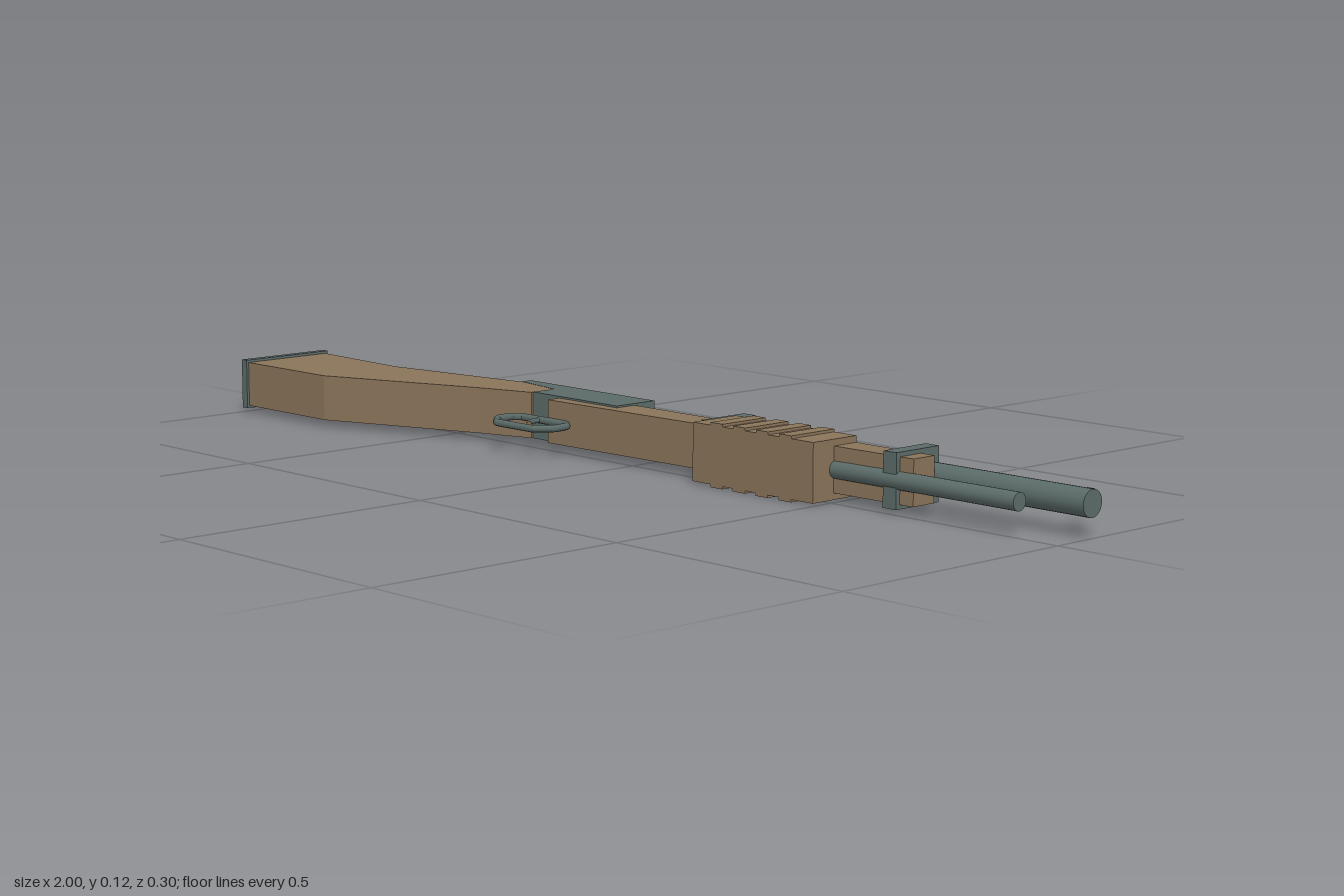
import * as THREE from 'three';

const MID = 0.058; // mid-plane height of the model, which lies on its side

export function createModel() {
  const model = new THREE.Group();
  const wood = new THREE.MeshStandardMaterial({ color: 0x8a745a });
  wood.name = 'wood';
  const metal = new THREE.MeshStandardMaterial({ color: 0x5b6b68 });
  metal.name = 'metal';

  const add = (name, geometry, material) => {
    const mesh = new THREE.Mesh(geometry, material);
    mesh.name = name;
    model.add(mesh);
    return mesh;
  };
  // Slab with an outline in x/z, centred on the mid-plane
  const slab = (name, points, half, material) => {
    const shape = new THREE.Shape(points.map(([x, z]) => new THREE.Vector2(x, -z)));
    const g = new THREE.ExtrudeGeometry(shape, { depth: half * 2, bevelEnabled: false });
    g.rotateX(-Math.PI / 2).translate(0, MID - half, 0);
    return add(name, g, material);
  };
  // Box from x and z ranges, centred on the mid-plane
  const block = (name, x0, x1, z0, z1, half, material, y = MID) => {
    const g = new THREE.BoxGeometry(x1 - x0, half * 2, z1 - z0);
    g.translate((x0 + x1) / 2, y, (z0 + z1) / 2);
    return add(name, g, material);
  };
  // Round bar along x
  const bar = (name, x0, x1, z, radius) => {
    const g = new THREE.CylinderGeometry(radius, radius, x1 - x0, 24);
    g.rotateZ(Math.PI / 2).translate((x0 + x1) / 2, MID, z);
    return add(name, g, metal);
  };
  // Thin bent rod with straight segments
  const rod = (name, points, radius, closed) => {
    const path = new THREE.CurvePath();
    const v = points.map(([x, z]) => new THREE.Vector3(x, MID, z));
    const count = closed ? v.length : v.length - 1;
    for (let i = 0; i < count; i++) path.add(new THREE.LineCurve3(v[i], v[(i + 1) % v.length]));
    return add(name, new THREE.TubeGeometry(path, count * 8, radius, 8, closed), metal);
  };

  // Wooden stock and its end plate
  slab('stock', [
    [-0.985, -0.05], [-0.985, 0.145], [-0.735, 0.145], [-0.41, 0.024],
    [-0.295, -0.012], [-0.295, -0.07], [-0.41, -0.088], [-0.74, -0.038],
  ], 0.044, wood);
  block('buttPlate', -1, -0.984, -0.055, 0.15, 0.049, metal);

  // Receiver with a rear tang
  slab('receiver', [
    [-0.41, -0.111], [-0.41, -0.088], [-0.295, -0.07], [-0.295, -0.016],
    [-0.06, -0.016], [-0.06, -0.111],
  ], 0.0445, metal);

  // Wooden fore-end
  slab('foreEnd', [
    [-0.22, 0.012], [-0.06, 0.008], [0.2, 0.0], [0.68, -0.01],
    [0.68, -0.062], [-0.06, -0.062], [-0.06, -0.016], [-0.22, -0.016],
  ], 0.041, wood);

  // Barrel and the tube beneath it
  bar('barrel', -0.07, 1, -0.086, 0.024);
  bar('lowerTube', 0.25, 0.91, -0.011, 0.016);

  // Ribbed sliding grip
  block('slideGrip', 0.205, 0.5, -0.062, 0.045, 0.053, wood);
  for (const side of [-1, 1]) {
    for (let i = 0; i < 4; i++) {
      const x = 0.265 + i * 0.056;
      block('gripRib', x - 0.015, x + 0.015, -0.062, 0.045, 0.003, wood, MID + side * 0.055);
    }
  }

  // Clamping bands
  for (const x of [0.195, 0.635]) block('band', x - 0.015, x + 0.015, -0.107, 0.0, 0.049, metal);

  // Sights
  block('rearSight', -0.14, -0.105, -0.147, -0.123, 0.029, metal);
  block('frontSight', 0.936, 0.951, -0.152, -0.121, 0.01, metal);

  // Trigger guard and trigger
  rod('triggerGuard', [
    [-0.295, 0.012], [-0.31, 0.025], [-0.31, 0.06], [-0.276, 0.091],
    [-0.178, 0.091], [-0.148, 0.058], [-0.152, 0.025], [-0.17, 0.012],
  ], 0.007, true);
  rod('trigger', [[-0.242, 0.014], [-0.241, 0.03], [-0.234, 0.047], [-0.216, 0.062]], 0.005, false);

  return model;
}
